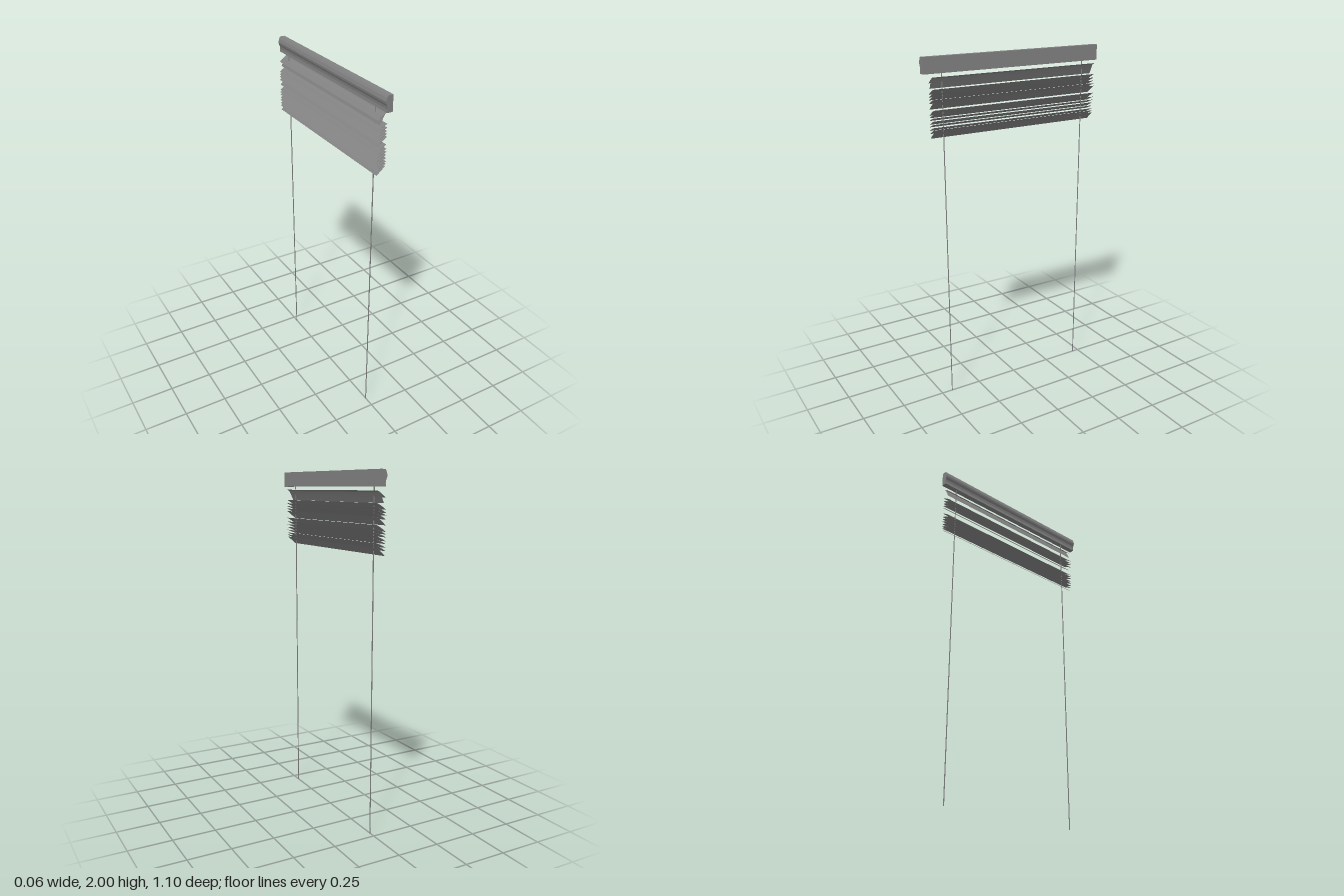
import * as THREE from 'three';

const grey = new THREE.MeshStandardMaterial({ color: 0x828282, flatShading: true });

const SLAT_LENGTH = 1.03;
const SLAT_Z = -0.015;

// Slim slat running along z: a tapered, slightly cambered section rising towards +x.
function makeSlat(width, rise, y, x = 0) {
  const section = [-0.5, -0.25, 0, 0.25, 0.5];
  const edge = (camber) => section.map((t) =>
    new THREE.Vector2(t * width, t * rise + camber * (1 - 4 * t * t)));
  const lower = edge(0.001);
  const upper = edge(0.0035).slice(1, -1).reverse();
  const geo = new THREE.ExtrudeGeometry(new THREE.Shape([...lower, ...upper]), {
    depth: SLAT_LENGTH, bevelEnabled: false,
  });
  const slat = new THREE.Mesh(geo, grey);
  slat.position.set(x, y, SLAT_Z - SLAT_LENGTH / 2);
  slat.name = 'slat';
  return slat;
}

export function createModel() {
  const model = new THREE.Group();
  model.name = 'windowBlind';

  // Head rail: flat on the +x side, moulded on the -x side
  const profile = new THREE.Shape([
    [0.02, 1.913], [0.02, 2], [-0.008, 2], [-0.015, 1.988], [-0.02, 1.97],
    [-0.018, 1.958], [-0.012, 1.945], [-0.01, 1.93], [-0.012, 1.913],
  ].map(([x, y]) => new THREE.Vector2(x, y)));
  const railGeo = new THREE.ExtrudeGeometry(profile, { depth: 1.1, bevelEnabled: false });
  const rail = new THREE.Mesh(railGeo.translate(0, 0, -0.55), grey);
  rail.name = 'headRail';
  model.add(rail);

  // Gathered slats, bunched unevenly: [width, rise, centre height, x offset]
  const slats = new THREE.Group();
  slats.name = 'slats';
  const layout = [
    [0.05, 0.036, 1.877, 0], [0.03, 0.06, 1.862, 0],
    [0.055, 0.034, 1.816, 0], [0.057, 0.03, 1.798, 0], [0.058, 0.026, 1.782, -0.001],
    [0.057, 0.03, 1.765, 0], [0.054, 0.044, 1.743, 0.001],
    [0.055, 0.036, 1.706, 0], [0.058, 0.026, 1.688, 0], [0.059, 0.024, 1.672, 0],
    [0.057, 0.028, 1.654, 0], [0.059, 0.024, 1.638, 0], [0.058, 0.026, 1.62, 0],
    [0.057, 0.03, 1.605, 0], [0.05, 0.042, 1.586, 0],
  ];
  for (const [w, rise, y, x] of layout) slats.add(makeSlat(w, rise, y, x));
  model.add(slats);

  // Lift cords hanging from the rail to the floor
  for (const z of [0.435, -0.46]) {
    const cord = new THREE.Mesh(new THREE.CylinderGeometry(0.003, 0.003, 1.92, 6), grey);
    cord.position.set(0, 0.96, z);
    cord.name = 'liftCord';
    model.add(cord);
  }
  return model;
}
